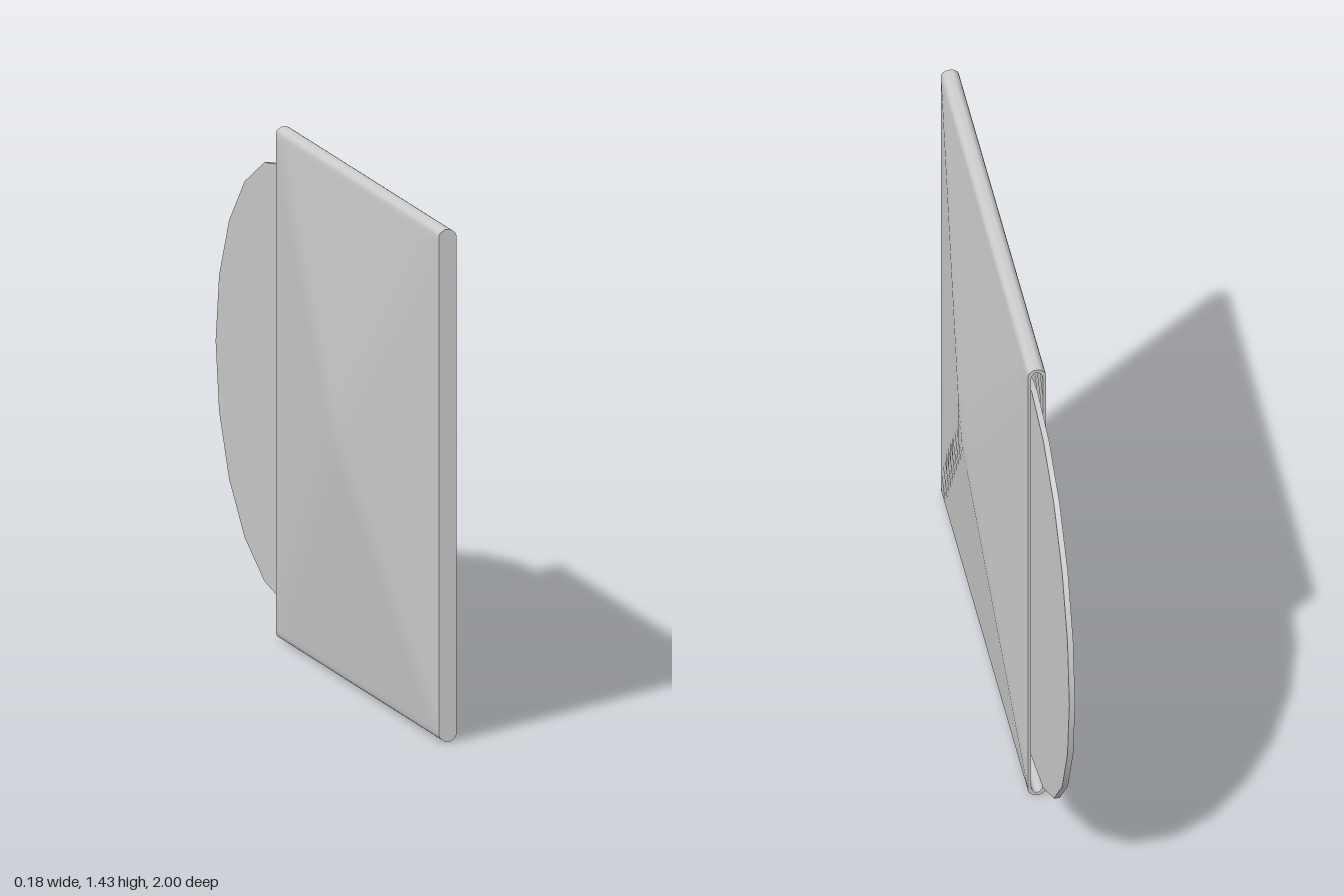
import * as THREE from 'three';

const H = 1.43, MID_Y = H / 2, MID_Z = 0.288, HALF = 0.712, BACK = -0.424;
const EDGE = 0.025, BULGE = 0.064, ROUND = 0.018, WALL = 0.009;

// Sample positions from -1 to 1, tighter at the borders
const steps = [-1, -0.98];
for (let i = -9; i <= 9; i++) steps.push(i / 10);
steps.push(0.98, 1);

// Half thickness: a shallow pyramid with a flattened tip
function halfThickness(a, b) {
  const u = Math.max(Math.abs(a), Math.abs(b), 0.05);
  return EDGE + BULGE * Math.min(1, (1 - u) / 0.95);
}

// Closed cross-section at depth z, counter-clockwise seen from the front
function ring(z, inset = 0, flat = 1) {
  const a = (z - MID_Z) / HALF;
  const reach = MID_Y - ROUND - inset;
  const right = steps.map(b => [halfThickness(a, b) - inset, b * reach]);
  // rounded top edge
  const x = right[right.length - 1][0], r = ROUND;
  for (const t of [30, 60, 90]) {
    const k = THREE.MathUtils.degToRad(t);
    right.push([x * (t === 90 ? 0.3 : Math.cos(k)), reach + r * Math.sin(k)]);
  }
  // matching rounded bottom edge
  const bottom = right.slice(-3).map(([px, py]) => [px, -py]).reverse();
  const side = [...bottom, ...right];
  const all = [...side, ...side.map(([px, py]) => [-px, -py])];
  return all.map(([px, py]) => new THREE.Vector3(px * flat, py + MID_Y, z));
}

// Skin a series of closed rings
function loft(rings) {
  const n = rings[0].length, index = [];
  for (let j = 0; j < rings.length - 1; j++) {
    for (let i = 0; i < n; i++) {
      const k = (i + 1) % n;
      const a = j * n + i, b = j * n + k, c = a + n, d = b + n;
      index.push(a, c, b, b, c, d);
    }
  }
  const geo = new THREE.BufferGeometry().setFromPoints(rings.flat());
  geo.setIndex(index);
  geo.computeVertexNormals();
  return geo;
}

export function createModel() {
  const model = new THREE.Group();
  const material = new THREE.MeshStandardMaterial({ color: 0xcccccc });
  const add = (parent, name, geometry) => {
    const mesh = new THREE.Mesh(geometry, material);
    mesh.name = name;
    parent.add(mesh);
    return mesh;
  };

  // Sleeve: bulging skin, closed front edge, open back edge
  const sleeve = new THREE.Group();
  sleeve.name = 'sleeve';
  model.add(sleeve);
  const depths = steps.map(s => MID_Z - s * HALF);
  add(sleeve, 'sleeveSkin', loft(depths.map(z => ring(z))));
  add(sleeve, 'sleeveFrontEdge', loft([ring(1, 0, 0), ring(1)]));
  add(sleeve, 'sleeveOpeningRim', loft([ring(BACK), ring(BACK, WALL)]));

  // Hollow pocket inside the sleeve
  const inner = depths.slice(1).reverse();
  add(sleeve, 'sleeveLining', loft(inner.map(z => ring(z, WALL))));
  const end = inner[inner.length - 1];
  add(sleeve, 'sleevePocketEnd', loft([ring(end, WALL), ring(end, WALL, 0)]));

  // Twenty-sided disc sliding out of the opening
  const disc = add(model, 'disc', new THREE.CylinderGeometry(0.615, 0.615, 0.016, 20));
  disc.rotation.z = Math.PI / 2;
  disc.position.set(0, MID_Y, -0.385);

  return model;
}
